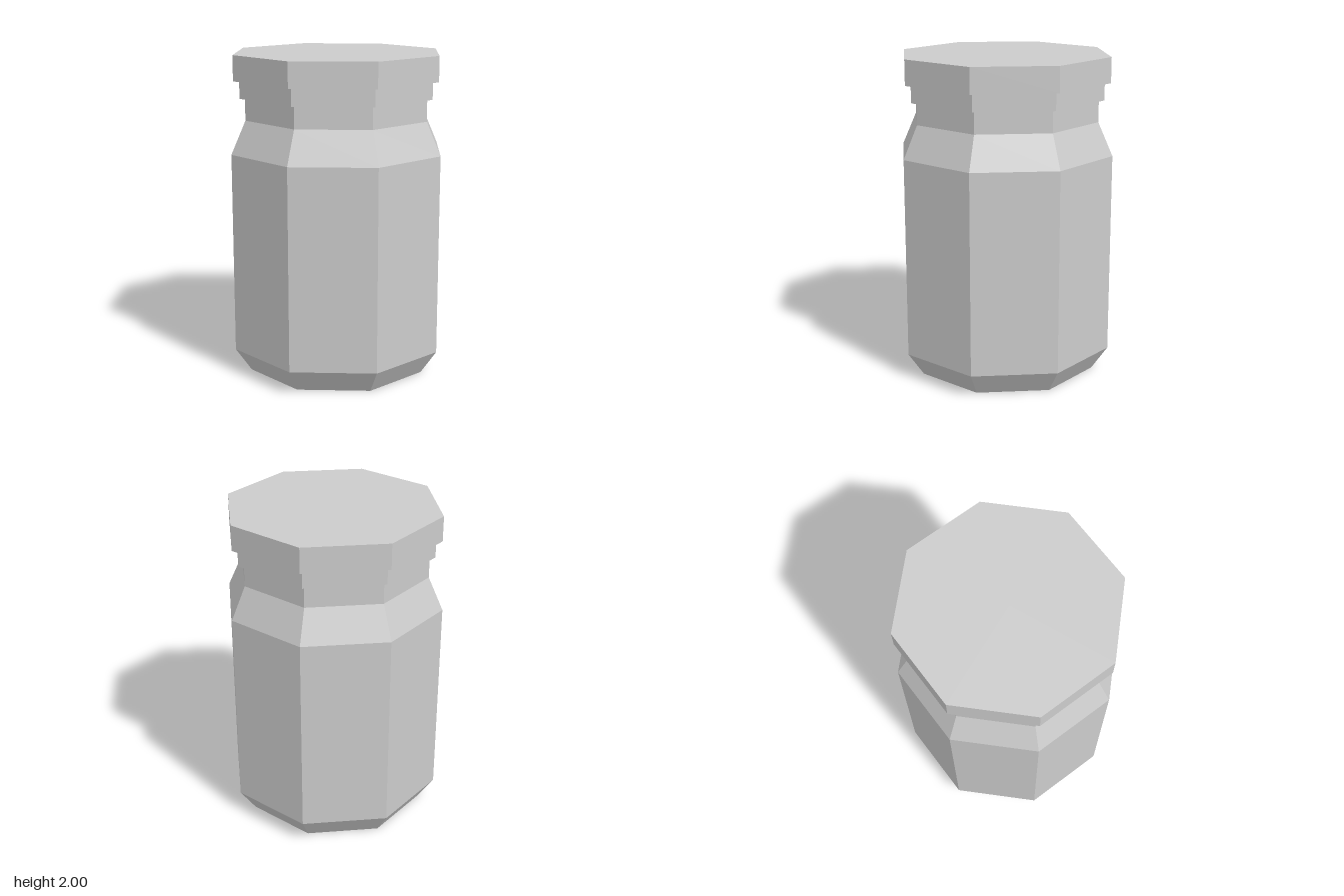
import * as THREE from 'three';

const SIDES = 8;
const material = new THREE.MeshStandardMaterial({ color: 0xcccccc, flatShading: true });

// Turns a [radius, height] profile, listed bottom to top, into an eight-sided solid.
function turned(name, profile) {
  const points = profile.map(([r, y]) => new THREE.Vector2(r, y));
  const mesh = new THREE.Mesh(new THREE.LatheGeometry(points, SIDES), material);
  mesh.name = name;
  return mesh;
}

export function createModel() {
  const jar = new THREE.Group();
  jar.name = 'jar';

  // Body: flat base, chamfered foot, straight wall, sloping shoulder, neck
  jar.add(turned('body', [
    [0, 0], [0.582, 0], [0.684, 0.15], [0.684, 1.4], [0.592, 1.604], [0.592, 1.738],
  ]));

  // Stepped lid: narrow collar below, wider cap with a flat top
  jar.add(turned('lid', [
    [0.592, 1.738], [0.626, 1.738], [0.626, 1.844], [0.664, 1.844], [0.664, 2], [0, 2],
  ]));

  return jar;
}
